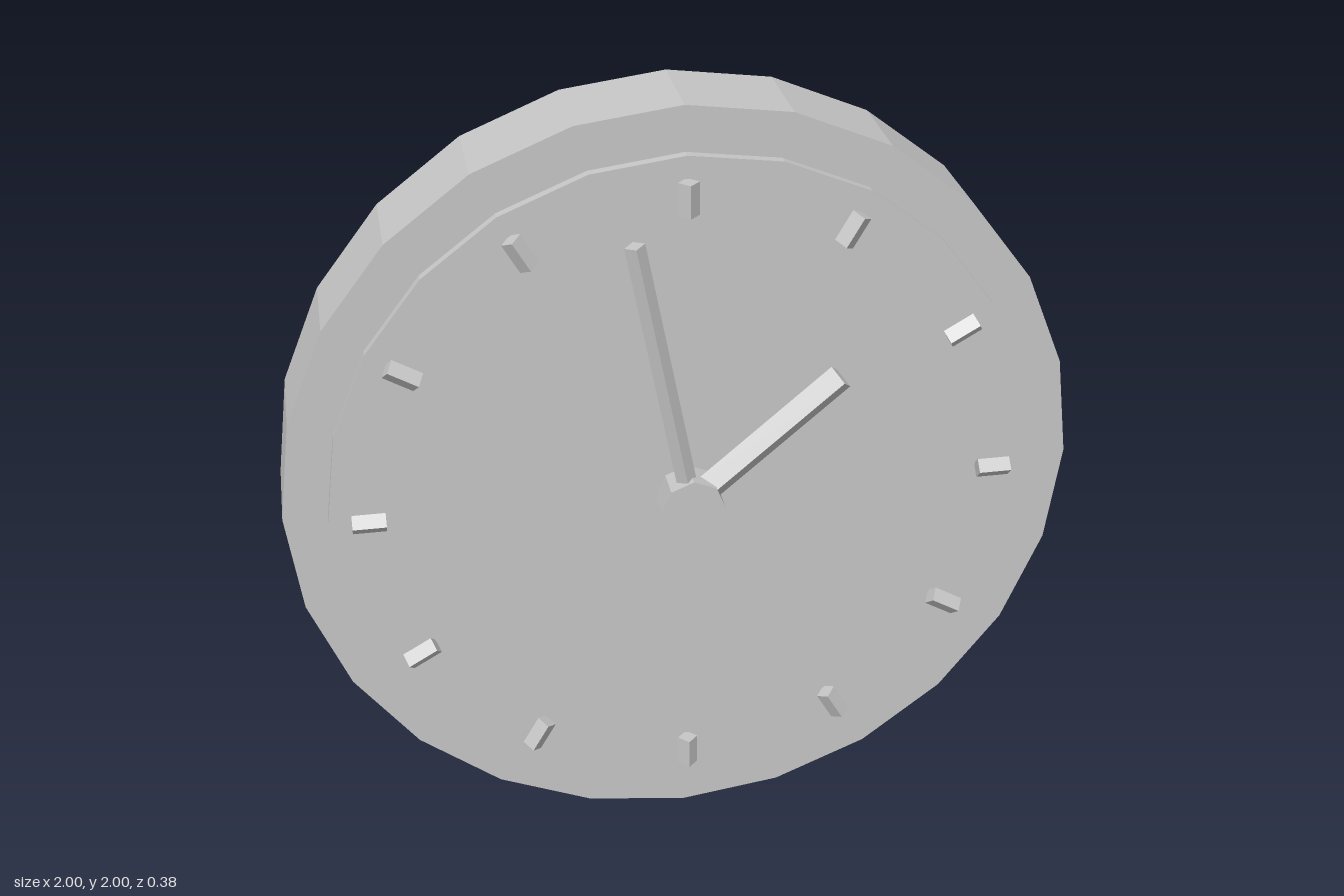
import * as THREE from 'three';

export function createModel() {
  const group = new THREE.Group();
  group.name = 'wallClock';
  const grey = new THREE.MeshStandardMaterial({ color: 0xc6c6c6, flatShading: true });
  grey.name = 'grey';

  // Faceted disc facing +z, spanning z0..z1, centred on the dial axis
  function disc(name, radius, sides, z0, z1) {
    const geo = new THREE.CylinderGeometry(radius, radius, z1 - z0, sides);
    geo.rotateX(Math.PI / 2);
    const mesh = new THREE.Mesh(geo, grey);
    mesh.name = name;
    mesh.position.set(0, 1, (z0 + z1) / 2);
    group.add(mesh);
  }

  // Four-sided bar pointing outward from the axis; angle is clockwise from twelve
  function bar(name, radius, start, end, angle, z) {
    const geo = new THREE.CylinderGeometry(radius, radius, end - start, 4);
    geo.translate(0, (start + end) / 2, 0);
    const mesh = new THREE.Mesh(geo, grey);
    mesh.name = name;
    mesh.position.set(0, 1, z);
    mesh.rotation.z = -angle;
    group.add(mesh);
  }

  // Case, raised dial and centre hub
  disc('case', 1, 24, -0.192, 0.057);
  disc('dial', 0.89, 24, 0.067, 0.092);
  disc('hub', 0.08, 8, 0.105, 0.192);

  // Hour markers
  for (let i = 0; i < 12; i++) {
    bar('hourMarker' + (i + 1), 0.026, 0.75, 0.833, ((i + 1) * Math.PI) / 6, 0.112);
  }

  // Hands
  bar('hourHand', 0.038, 0.03, 0.487, THREE.MathUtils.degToRad(49.6), 0.15);
  bar('minuteHand', 0.025, 0.03, 0.717, THREE.MathUtils.degToRad(-10.9), 0.16);

  return group;
}
